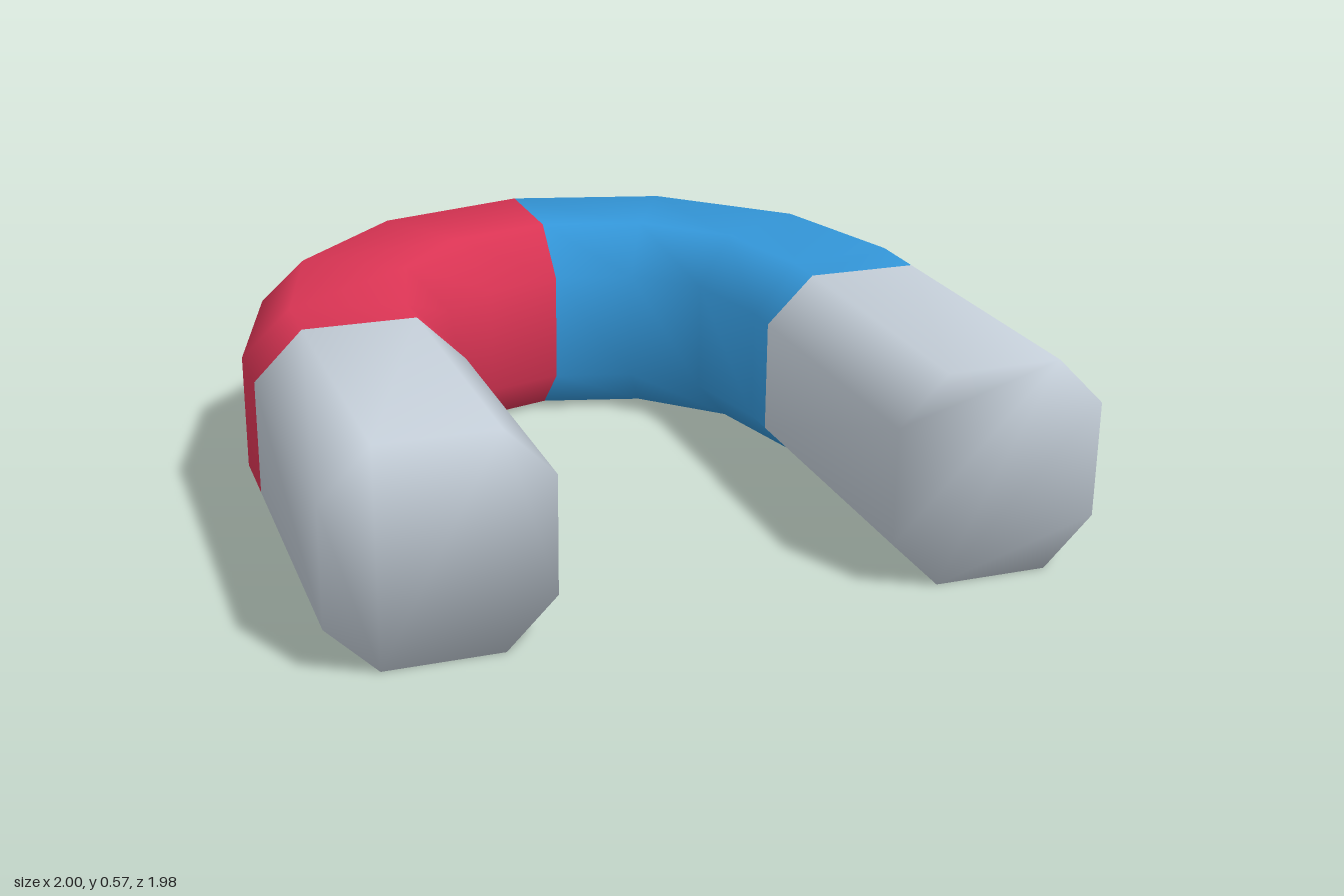
import * as THREE from 'three';

const material = (name, color) => {
  const m = new THREE.MeshStandardMaterial({ color });
  m.name = name;
  return m;
};

// Chamfered octagonal section as [distance from the inside axis, height]
const SECTION = [
  [0.87, 0.57], [0.565, 0.57], [0.435, 0.44], [0.435, 0.13],
  [0.565, 0], [0.87, 0], [1, 0.13], [1, 0.44],
];
const N = SECTION.length;

// Stations of one half, from the middle of the bend to the pole: u -> [x, z]
const bend = (deg) => (u) => {
  const a = THREE.MathUtils.degToRad(deg);
  return [u * Math.sin(a), 0.01 - u * Math.cos(a)];
};
const straight = (z) => (u) => [u, z];
const tilted = (u) => [u, 0.065 - (u - 0.435) * 0.168];
const half = [bend(0), bend(30), bend(60), tilted, straight(0.165), straight(0.985)];
const mirrored = half.slice(1).reverse().map((f) => (u) => {
  const [x, z] = f(u);
  return [-x, z];
});
const stations = [...mirrored, ...half];
const LAST = stations.length - 2;

// Wall triangles between station k and k + 1
function wall(k) {
  const out = [];
  for (let i = 0; i < N; i++) {
    const j = (i + 1) % N;
    const a = k * N + i, b = k * N + j, c = a + N, d = b + N;
    let diagonalAD = true;
    if (k === 0) diagonalAD = i % 4 !== 1;
    if (k === LAST) diagonalAD = i % 4 === 0;
    if (diagonalAD) out.push(a, b, d, a, d, c);
    else out.push(a, b, c, b, d, c);
  }
  return out;
}

// Flat pole face, fanned from two opposite corners
function cap(k, hub, flip) {
  const out = [];
  for (const h of [hub, hub + 4]) {
    for (let s = 1; s < 4; s++) {
      const [p, q, r] = [h, h + s, h + s + 1].map((v) => k * N + (v % N));
      out.push(p, flip ? r : q, flip ? q : r);
    }
  }
  return out;
}

export function createModel() {
  const group = new THREE.Group();
  group.name = 'horseshoeMagnet';

  const steel = material('steel grey', 0xc4ced8);
  const red = material('red', 0xdc3555);
  const blue = material('blue', 0x3498db);

  const walls = (from, to) => {
    const out = [];
    for (let k = from; k <= to; k++) out.push(...wall(k));
    return out;
  };
  const middle = (LAST + 1) / 2;
  const parts = [
    ['rightPole', steel, [...walls(0, 0), ...cap(0, 1, true)]],
    ['rightArm', red, walls(1, middle - 1)],
    ['leftArm', blue, walls(middle, LAST - 1)],
    ['leftPole', steel, [...walls(LAST, LAST), ...cap(LAST + 1, 0, false)]],
  ];

  // Whole body first, so that shading runs smoothly across the colours
  const positions = [];
  for (const station of stations) {
    for (const [u, y] of SECTION) {
      const [x, z] = station(u);
      positions.push(x, y, z);
    }
  }
  const body = new THREE.BufferGeometry();
  body.setAttribute('position', new THREE.Float32BufferAttribute(positions, 3));
  body.setIndex(parts.flatMap((p) => p[2]));
  body.computeVertexNormals();

  // Split the body into its coloured parts
  for (const [name, mat, index] of parts) {
    const piece = body.clone();
    piece.setIndex(index);
    const mesh = new THREE.Mesh(piece.toNonIndexed(), mat);
    mesh.name = name;
    group.add(mesh);
  }
  return group;
}
